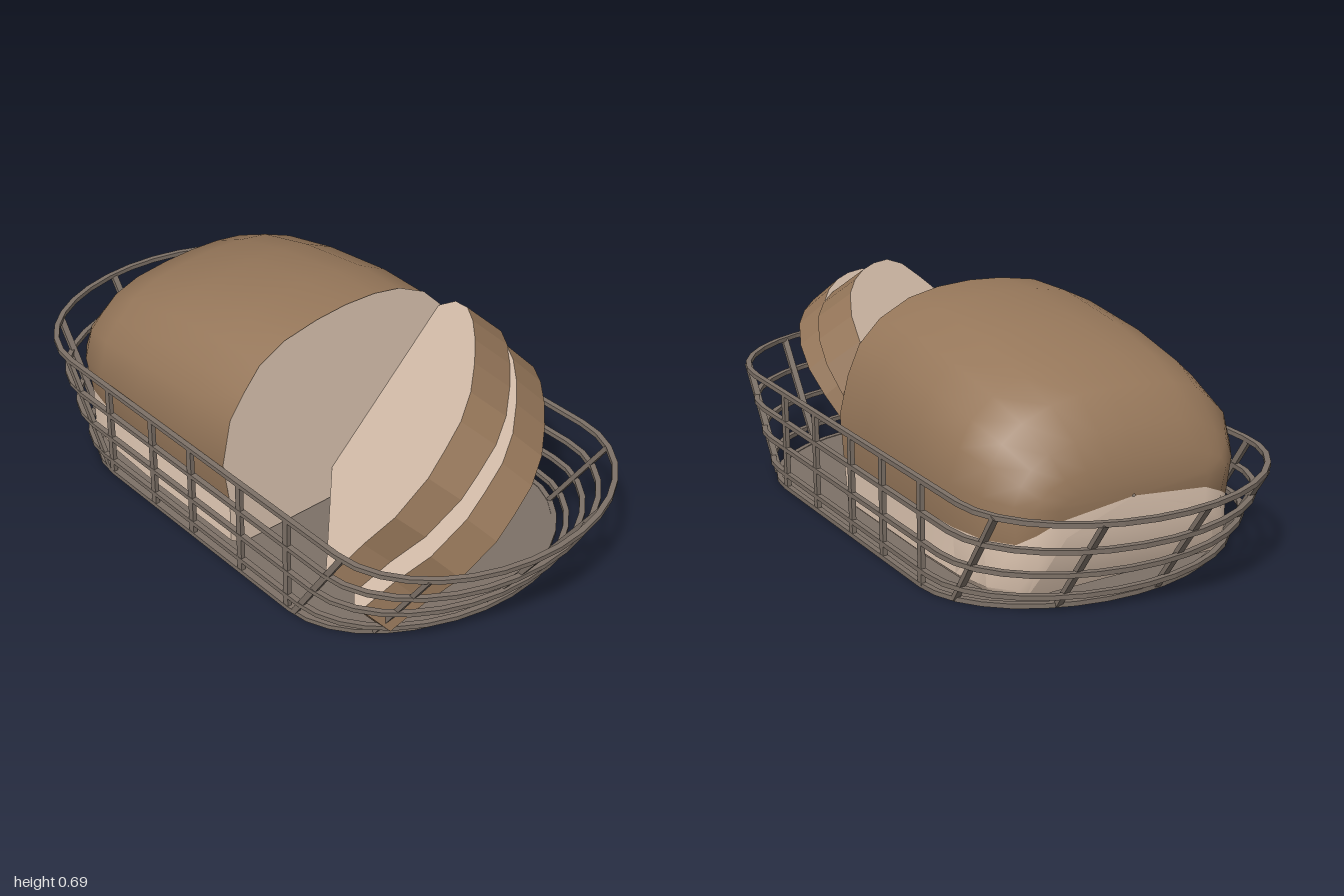
import * as THREE from 'three';
import { toCreasedNormals } from 'three/addons/utils/BufferGeometryUtils.js';

const crust = new THREE.MeshStandardMaterial({ color: 0x96775a });
const crumb = new THREE.MeshStandardMaterial({ color: 0xe6cdb8 });
const wire = new THREE.MeshStandardMaterial({ color: 0x7d7167 });

// Bread cross-section as [z, y], from the front foot over the top to the back foot
const profile = [
  [0.41, 0.02], [0.45, 0.05], [0.45, 0.19], [0.47, 0.33], [0.44, 0.47], [0.39, 0.54],
  [0.33, 0.61], [0.24, 0.655], [0.12, 0.677], [0.01, 0.685], [-0.1, 0.68], [-0.2, 0.66],
  [-0.3, 0.61], [-0.37, 0.54], [-0.41, 0.45], [-0.44, 0.33], [-0.43, 0.19], [-0.42, 0.05], [-0.39, 0.02],
];

// Loaf stations: x, width scale, scale above and below the widest height
const stations = [
  [0.125, 1, 0.985, 1], [-0.05, 1, 1, 1], [-0.3, 1, 0.915, 1], [-0.5, 0.98, 0.79, 1],
  [-0.62, 0.92, 0.66, 1], [-0.7, 0.8, 0.44, 0.97], [-0.735, 0.7, 0.24, 0.65],
  [-0.75, 0.55, 0.1, 0.3], [-0.752, 0.01, 0.01, 0.01],
];
const MID = 0.28;

function addMesh(group, name, geometry, material) {
  const mesh = new THREE.Mesh(geometry, material);
  mesh.name = name;
  group.add(mesh);
  return mesh;
}

// Skin a run of profile points along the loaf stations
function loafSkin(points) {
  const pos = [], index = [], n = points.length;
  stations.forEach(([x, w, up, down], j) => {
    points.forEach(([z, y], i) => {
      pos.push(x, MID + (y - MID) * (y > MID ? up : down), z * w);
      if (j < stations.length - 1 && i < n - 1) {
        const a = j * n + i, c = a + n;
        index.push(a, a + 1, c, a + 1, c + 1, c);
      }
    });
  });
  const g = new THREE.BufferGeometry();
  g.setAttribute('position', new THREE.Float32BufferAttribute(pos, 3));
  g.setIndex(index);
  return toCreasedNormals(g, 0.7);
}

function breadShape(side, drop = 0) {
  return new THREE.Shape(profile.map(([z, y]) => new THREE.Vector2(side * z, y - drop)));
}

function makeLoaf() {
  const loaf = new THREE.Group();
  loaf.name = 'loaf';
  addMesh(loaf, 'loafCrust', loafSkin(profile.slice(2, 17)), crust);
  addMesh(loaf, 'loafFrontFoot', loafSkin(profile.slice(0, 3)), crumb);
  addMesh(loaf, 'loafBackFoot', loafSkin(profile.slice(16)), crumb);
  addMesh(loaf, 'loafUnderside', loafSkin([profile[18], profile[0]]), crumb);
  const cut = new THREE.ShapeGeometry(breadShape(-1));
  cut.rotateY(Math.PI / 2).translate(0.125, 0, 0);
  addMesh(loaf, 'loafCutFace', cut, crumb);
  return loaf;
}

// Leaning slice: foot is the middle of the bottom edge of its upper face
function makeSlice(name, foot, lean, thickness) {
  const g = new THREE.ExtrudeGeometry(breadShape(1, 0.02), { depth: thickness, bevelEnabled: false });
  g.translate(0, 0, -thickness);
  const along = new THREE.Vector3(0.735, 0, 0.678).normalize();
  const s = Math.sin(lean), up = new THREE.Vector3(along.z * s, Math.cos(lean), -along.x * s);
  const out = along.clone().cross(up);
  g.applyMatrix4(new THREE.Matrix4().makeBasis(along, up, out).setPosition(...foot));
  const slice = new THREE.Mesh(g, [crumb, crust]);
  slice.name = name;
  return slice;
}

// Basket levels: height, half length, start of the rounded end
const HALF_Z = 0.488;
const levels = [
  [0.007, 0.785, 0.43], [0.05, 0.835, 0.47], [0.135, 0.89, 0.53], [0.222, 0.945, 0.58], [0.317, 1, 0.63],
];

function ovalPoints([, halfX, start], inset) {
  const pts = [], rx = halfX - start - inset, rz = HALF_Z - inset;
  for (const side of [1, -1]) {
    for (let i = 0; i <= 16; i++) {
      const a = -Math.PI / 2 + (Math.PI * i) / 16;
      pts.push(new THREE.Vector2(side * (start + rx * Math.cos(a)), side * rz * Math.sin(a)));
    }
  }
  return pts;
}

function ovalSlab(level, height, hollow) {
  const shape = new THREE.Shape(ovalPoints(level, 0));
  if (hollow) shape.holes.push(new THREE.Path(ovalPoints(level, 0.017)));
  const g = new THREE.ExtrudeGeometry(shape, { depth: height, bevelEnabled: false });
  return g.rotateX(-Math.PI / 2).translate(0, level[0] - height / 2, 0);
}

function makeBasket() {
  const basket = new THREE.Group();
  basket.name = 'basket';
  addMesh(basket, 'basketFloor', ovalSlab(levels[0], 0.01, false), wire);
  for (const level of levels) addMesh(basket, 'basketRing', ovalSlab(level, 0.014, true), wire);

  // A strut rises from the lowest ring to the rim
  const strut = (x0, x1, z, thickX, thickZ) => {
    const y0 = levels[0][0], y1 = levels[4][0];
    const bar = addMesh(basket, 'basketStrut',
      new THREE.BoxGeometry(thickX, Math.hypot(x1 - x0, y1 - y0), thickZ), wire);
    bar.position.set((x0 + x1) / 2, (y0 + y1) / 2, z);
    bar.rotation.z = -Math.atan2(x1 - x0, y1 - y0);
  };
  const endX = ([, halfX, start], z) => {
    const inset = 0.008;
    return start + (halfX - start - inset) * Math.sqrt(1 - (z / (HALF_Z - inset)) ** 2);
  };
  for (const side of [1, -1]) {
    for (const x of [-0.43, -0.21, -0.02, 0.21, 0.42]) strut(x, x, side * 0.48, 0.02, 0.014);
    for (const z of [0.36, 0.07, -0.23, -0.447]) {
      strut(side * endX(levels[0], z), side * endX(levels[4], z), z, 0.014, 0.02);
    }
    strut(side * 0.45, side * 0.65, 0.478, 0.018, 0.014);
  }
  return basket;
}

export function createModel() {
  const model = new THREE.Group();
  model.name = 'breadBasket';
  model.add(
    makeBasket(),
    makeLoaf(),
    makeSlice('innerSlice', [0.19, 0.13, 0.12], 0.655, 0.13),
    makeSlice('outerSlice', [0.32, 0.093, 0.13], 0.72, 0.11),
  );
  return model;
}
